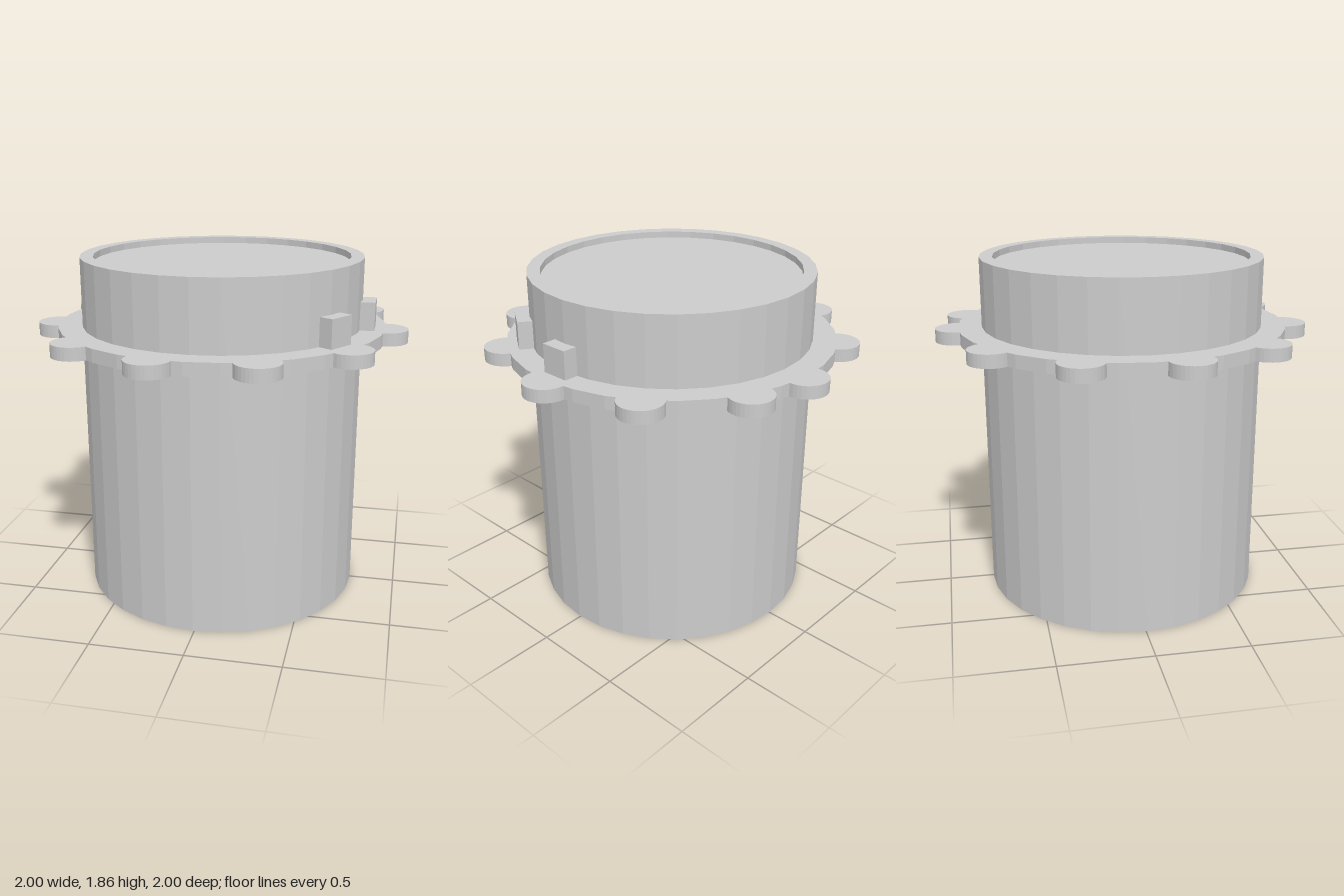
import * as THREE from 'three';

const SIDES = 32;
const STEP = (Math.PI * 2) / SIDES;

export function createModel() {
  const model = new THREE.Group();
  const material = new THREE.MeshStandardMaterial({ color: 0xcccccc, flatShading: true });
  const add = (name, geometry) => {
    const mesh = new THREE.Mesh(geometry, material);
    mesh.name = name;
    model.add(mesh);
    return mesh;
  };

  // Cylindrical body with a shallow recess in its top
  const profile = [[0, 0], [0.76, 0], [0.76, 1.86], [0.69, 1.86], [0.69, 1.825], [0, 1.825]]
    .map(([r, y]) => new THREE.Vector2(r, y));
  add('body', new THREE.LatheGeometry(profile, SIDES));

  // Grip ring: every third corner, apart from the gap, carries a round knob
  const ringRadius = 0.889, knobRadius = 0.118, knobArcSteps = 18;
  const outline = [];
  for (let k = -6; k < SIDES - 6; k++) {
    const a = k * STEP;
    const x = ringRadius * Math.cos(a), z = ringRadius * Math.sin(a);
    if (k % 3 === 0 && k <= 24) {
      const half = Math.PI / 2 + STEP / 2;
      for (let i = 0; i <= knobArcSteps; i++) {
        const b = a - half + (2 * half * i) / knobArcSteps;
        outline.push(new THREE.Vector2(x + knobRadius * Math.cos(b), z + knobRadius * Math.sin(b)));
      }
    } else {
      outline.push(new THREE.Vector2(x, z));
    }
  }
  const ringShape = new THREE.Shape(outline);
  const hole = [];
  for (let k = 0; k < SIDES; k++) {
    hole.push(new THREE.Vector2(0.755 * Math.cos(k * STEP), 0.755 * Math.sin(k * STEP)));
  }
  ringShape.holes.push(new THREE.Path(hole));
  const ring = new THREE.ExtrudeGeometry(ringShape, { depth: 0.07, bevelEnabled: false });
  ring.rotateX(Math.PI / 2);
  add('gripRing', ring).position.y = 1.49;

  // Two stop blocks standing on the ring against the body
  [0, 3].forEach((k, i) => {
    const block = new THREE.BoxGeometry(0.09, 0.15, 0.152);
    block.translate(0.785, 1.565, 0);
    block.rotateY(-k * STEP);
    add(`stopBlock${i + 1}`, block);
  });

  // The uneven knob spacing puts the axis slightly off centre
  model.children.forEach((part) => {
    part.position.x -= 0.008;
    part.position.z += 0.008;
  });
  return model;
}
